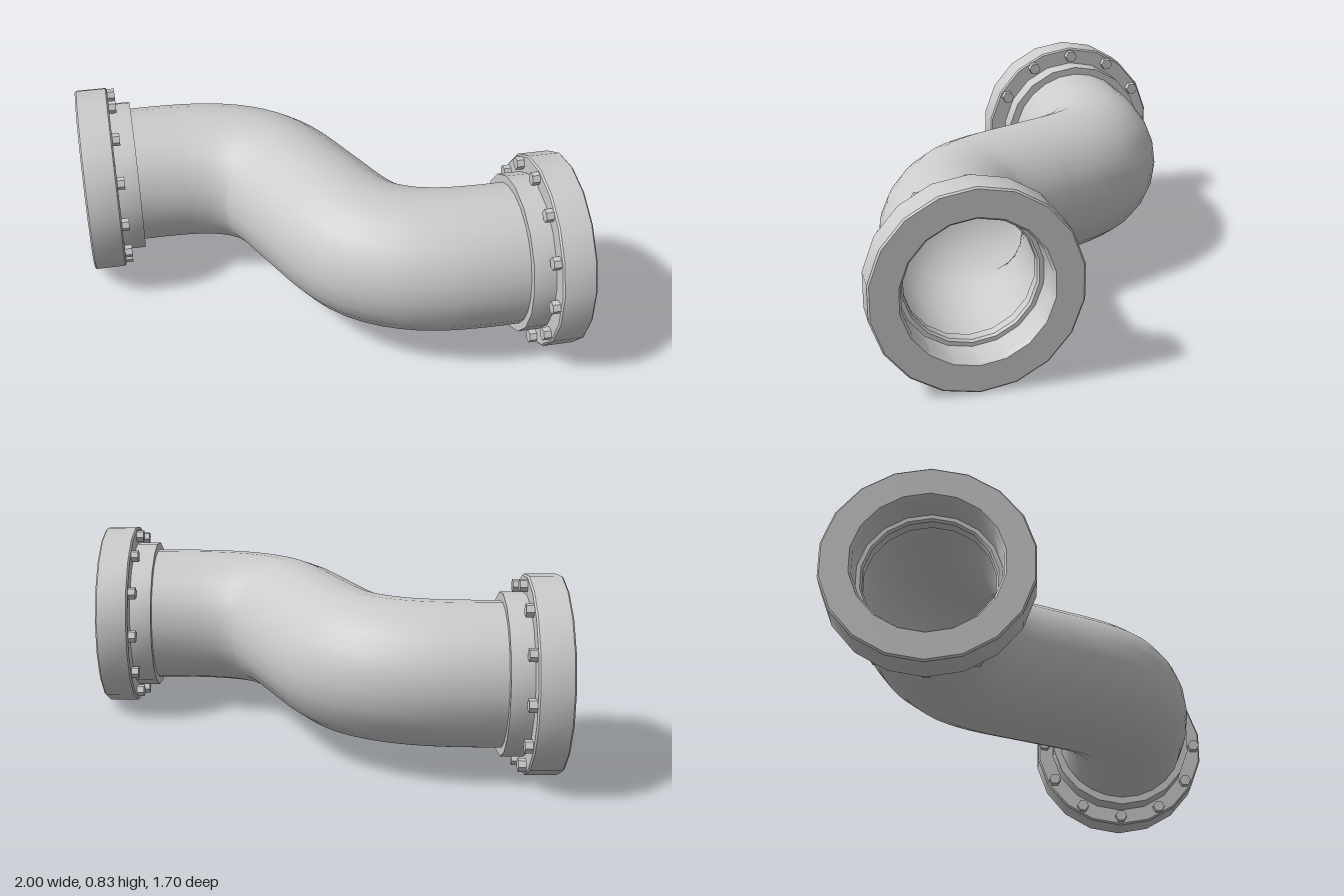
import * as THREE from 'three';
import { toCreasedNormals } from 'three/addons/utils/BufferGeometryUtils.js';

const AXIS_Y = 0.417, AXIS_Z = 0.44;
const material = new THREE.MeshStandardMaterial({ color: 0xcccccc });
const liningMaterial = new THREE.MeshStandardMaterial({ color: 0xcccccc, side: THREE.BackSide });

function addMesh(parent, name, geometry, mat = material) {
  const mesh = new THREE.Mesh(geometry, mat);
  mesh.name = name;
  parent.add(mesh);
  return mesh;
}

// Ring turned around the x axis from [radius, x] pairs
function turnedRing(profile) {
  const points = profile.map(([r, x]) => new THREE.Vector2(r, x));
  const geometry = new THREE.LatheGeometry(points, 18, Math.PI / 2);
  geometry.rotateZ(-Math.PI / 2);
  return toCreasedNormals(geometry, 0.6);
}

// Pipe end with flange, collar, inner lip and bolts, facing +x
function createPipeEnd(name) {
  const end = new THREE.Group();
  end.name = name;
  const ring = new THREE.Group();
  ring.position.set(0, AXIS_Y, AXIS_Z);
  end.add(ring);

  addMesh(ring, 'flange', turnedRing([
    [0.29, 0.855], [0.41, 0.855], [0.417, 0.862], [0.417, 0.993], [0.41, 1],
    [0.3, 1], [0.29, 0.985], [0.287, 0.855],
  ]));
  addMesh(ring, 'collar', turnedRing([
    [0.295, 0.76], [0.341, 0.76], [0.341, 0.858],
  ]));
  addMesh(ring, 'innerLip', turnedRing([
    [0.3, 0.865], [0.27, 0.865], [0.262, 0.855], [0.262, 0.81], [0.29, 0.81],
  ]));

  // Twelve hexagonal bolt heads on the back of the flange
  const boltGeometry = toCreasedNormals(new THREE.CylinderGeometry(0.028, 0.028, 0.04, 6), 0.5);
  boltGeometry.rotateZ(Math.PI / 2);
  for (let i = 0; i < 12; i++) {
    const angle = (i / 12) * Math.PI * 2;
    const bolt = addMesh(ring, 'bolt', boltGeometry);
    bolt.position.set(0.843, 0.378 * Math.cos(angle), 0.378 * Math.sin(angle));
  }
  return end;
}

// S-shaped centre line, symmetric about the middle
function createCentreLine() {
  const half = [
    [-0.85, -AXIS_Z], [-0.62, -AXIS_Z], [-0.46, -0.427],
    [-0.316, -0.39], [-0.19, -0.316], [-0.113, -0.222],
  ];
  const otherHalf = half.map(([x, z]) => [-x, -z]).reverse();
  const points = [...half, [0, 0], ...otherHalf];
  return new THREE.CatmullRomCurve3(points.map(([x, z]) => new THREE.Vector3(x, AXIS_Y, z)));
}

export function createModel() {
  const model = new THREE.Group();
  model.name = 'offsetPipe';

  // Pipe wall and its inner surface
  const path = createCentreLine();
  addMesh(model, 'pipe', new THREE.TubeGeometry(path, 40, 0.306, 24));
  addMesh(model, 'pipeLining', new THREE.TubeGeometry(path, 40, 0.28, 24), liningMaterial);

  // Identical ends, the second turned half way round
  const leftEnd = createPipeEnd('leftEnd');
  const rightEnd = createPipeEnd('rightEnd');
  rightEnd.rotation.y = Math.PI;
  model.add(leftEnd, rightEnd);
  return model;
}
